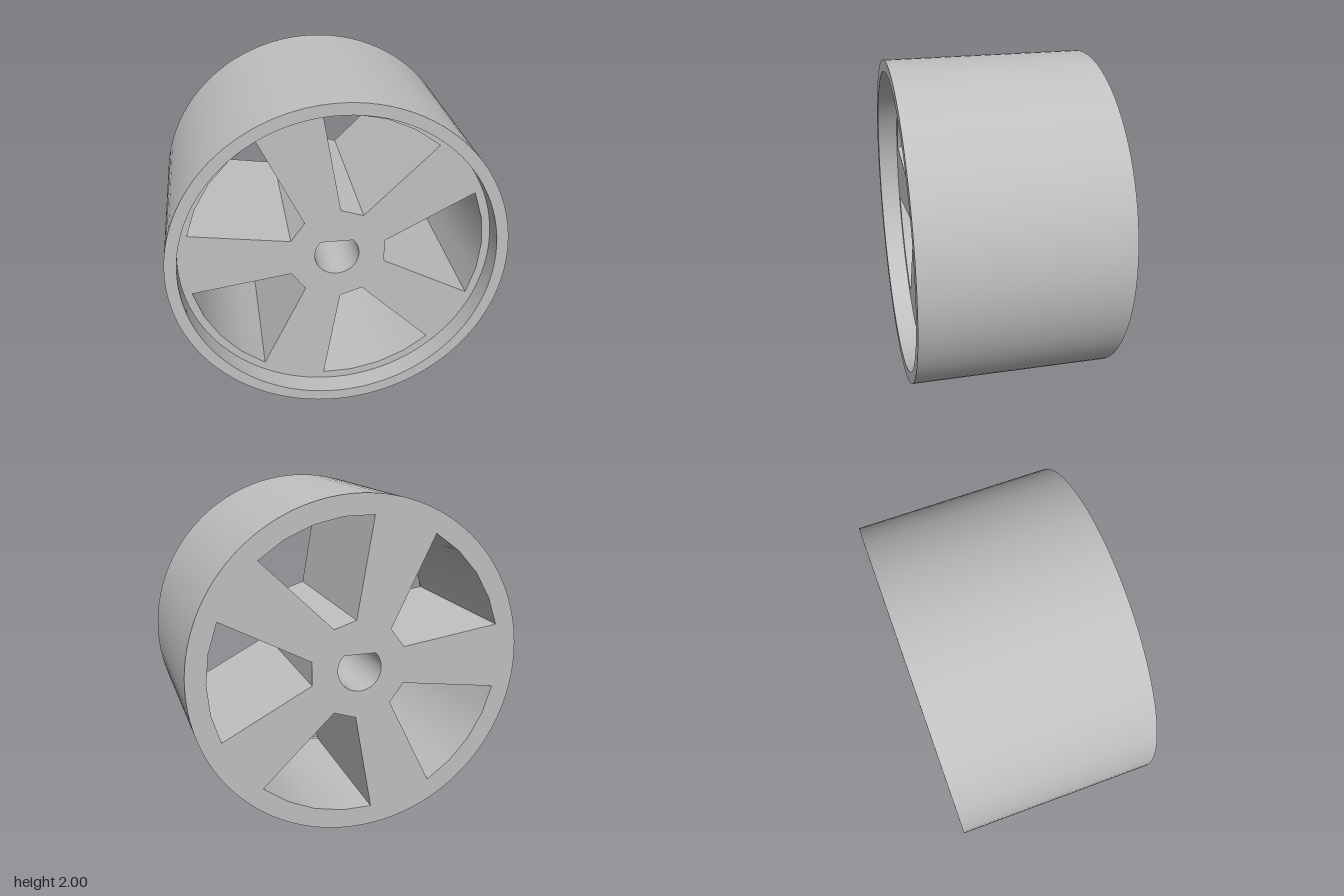
import * as THREE from 'three';
import { toCreasedNormals } from 'three/addons/utils/BufferGeometryUtils.js';

const BACK = -0.605, FRONT = 0.605, FLOOR = 0.475; // wheel ends and recessed front face
const OUTER = 1, INNER = 0.93, SEGMENTS = 96;

const polar = (r, a) => new THREE.Vector2(r * Math.cos(a), r * Math.sin(a));

// Tapered opening between two spokes, counter-clockwise
function windowOutline(turn) {
  const points = [new THREE.Vector2(0.285, 0.07), new THREE.Vector2(0.285, -0.07)];
  const half = THREE.MathUtils.degToRad(23.2);
  for (let i = 0; i <= 4; i++) points.push(polar(0.883, -half + (i / 4) * 2 * half));
  return points.map((p) => p.rotateAround(new THREE.Vector2(), turn));
}

// D-shaped axle bore, counter-clockwise, flat on top
function boreOutline() {
  const flat = Math.asin(0.09 / 0.132);
  const start = Math.PI - flat, sweep = Math.PI + 2 * flat;
  return Array.from({ length: 33 }, (_, i) => polar(0.132, start + (i / 32) * sweep));
}

// Round face pierced by all the openings
function faceGeometry(radius, outlines, z, facesBack) {
  const shape = new THREE.Shape().absarc(0, 0, radius, 0, Math.PI * 2);
  shape.holes = outlines.map((o) => new THREE.Path(o));
  const geometry = new THREE.ShapeGeometry(shape, SEGMENTS).translate(0, 0, z);
  if (facesBack) {
    geometry.index.array.reverse();
    geometry.computeVertexNormals();
  }
  return geometry;
}

// Walls lining one opening, facing into it
function liningGeometry(outline) {
  const positions = [];
  outline.forEach((p, i) => {
    const q = outline[(i + 1) % outline.length];
    const a = [p.x, p.y, BACK], b = [p.x, p.y, FLOOR];
    const c = [q.x, q.y, FLOOR], d = [q.x, q.y, BACK];
    positions.push(...a, ...b, ...c, ...a, ...c, ...d);
  });
  const geometry = new THREE.BufferGeometry();
  geometry.setAttribute('position', new THREE.Float32BufferAttribute(positions, 3));
  return toCreasedNormals(geometry, Math.PI / 6);
}

export function createModel() {
  const model = new THREE.Group();
  model.name = 'wheel';
  const grey = new THREE.MeshStandardMaterial({ color: 0xc0c0c0 });
  grey.name = 'grey';

  const add = (name, geometry) => {
    const mesh = new THREE.Mesh(geometry, grey);
    mesh.name = name;
    mesh.position.y = 1;
    model.add(mesh);
  };

  const bore = boreOutline();
  const windows = Array.from({ length: 5 }, (_, i) => windowOutline((i * Math.PI * 2) / 5));
  const outlines = [bore, ...windows];

  // Tread, front lip and the wall of the front recess
  const profile = [[OUTER, BACK], [OUTER, FRONT], [INNER, FRONT], [INNER, FLOOR]];
  const rim = new THREE.LatheGeometry(profile.map(([r, z]) => new THREE.Vector2(r, z)), SEGMENTS);
  add('rim', toCreasedNormals(rim.rotateX(Math.PI / 2), Math.PI / 6));

  // Spoked faces
  add('frontSpokes', faceGeometry(INNER, outlines, FLOOR, false));
  add('backSpokes', faceGeometry(OUTER, outlines, BACK, true));

  // Inside walls of the openings
  add('axleBore', liningGeometry(bore));
  windows.forEach((o, i) => add(`spokeWindow${i + 1}`, liningGeometry(o)));

  return model;
}
